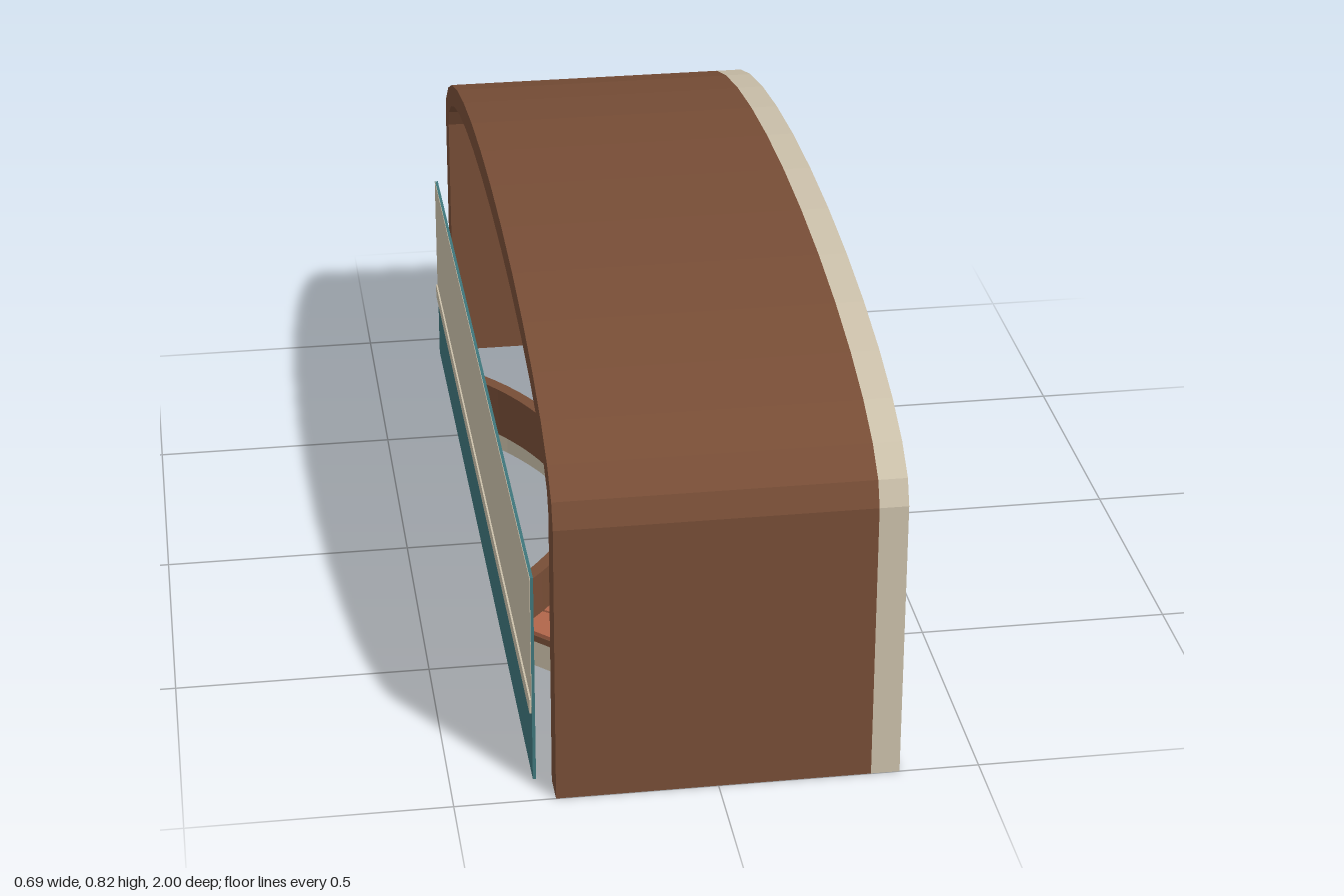
import * as THREE from 'three';

const mat = (name, color) => {
  const m = new THREE.MeshStandardMaterial({ color });
  m.name = name;
  return m;
};

export function createModel() {
  const group = new THREE.Group();
  const brown = mat('brown wood', 0x774d36);
  const stone = mat('beige stone', 0xcbc0aa);
  const teal = mat('teal', 0x3f767b);
  const plank = mat('terracotta plank', 0xb0664a);
  const soil = mat('dark soil', 0x36352a);

  const add = (name, geometry, material, x = 0, y = 0, z = 0) => {
    const mesh = new THREE.Mesh(geometry, material);
    mesh.name = name;
    mesh.position.set(x, y, z);
    group.add(mesh);
    return mesh;
  };

  // Arched shell: straight legs below a half ellipse, extruded along x
  const spring = 0.57;
  const outline = (a, b) => {
    const pts = [[a, 0]];
    for (let i = 0; i <= 16; i++) {
      const t = (i / 16) * Math.PI;
      pts.push([a * Math.cos(t), spring + b * Math.sin(t)]);
    }
    pts.push([-a, 0]);
    return pts.map(p => new THREE.Vector2(...p));
  };
  const arch = depth => {
    const shape = new THREE.Shape([...outline(1, 0.248), ...outline(0.935, 0.193).reverse()]);
    return new THREE.ExtrudeGeometry(shape, { depth, bevelEnabled: false }).rotateY(Math.PI / 2);
  };
  add('archShell', arch(0.6), brown, -0.308);
  add('archFrontTrim', arch(0.055), stone, 0.292);

  // Low rear screen with a pale upper face and a rail on its back
  add('rearScreen', new THREE.BoxGeometry(0.006, 0.435, 1.855), teal, -0.34, 0.2175, 0);
  add('screenBackFace', new THREE.BoxGeometry(0.001, 0.275, 1.855), stone, -0.3435, 0.2975, 0);
  add('screenBackRail', new THREE.BoxGeometry(0.004, 0.03, 1.855), stone, -0.3455, 0.16, 0);

  // Curved bench: ring sectors sharing one centre
  const centreX = -0.805;
  const sector = (r0, r1, from, to, depth, steps) => {
    const pts = [];
    for (let i = 0; i <= steps; i++) {
      const t = from + ((to - from) * i) / steps;
      pts.push(new THREE.Vector2(r1 * Math.cos(t), r1 * Math.sin(t)));
    }
    for (let i = steps; i >= 0; i--) {
      const t = from + ((to - from) * i) / steps;
      pts.push(new THREE.Vector2(r0 * Math.cos(t), r0 * Math.sin(t)));
    }
    return new THREE.ExtrudeGeometry(new THREE.Shape(pts), { depth, bevelEnabled: false })
      .rotateX(-Math.PI / 2);
  };
  const q = Math.PI / 4;
  add('benchBase', sector(0.69, 0.77, -q, q, 0.055, 28), stone, centreX, 0, 0);
  add('benchSeat', sector(0.69, 0.785, -q, q, 0.014, 28), brown, centreX, 0.055, 0);
  add('benchBackrest', sector(0.665, 0.692, -q, q, 0.11, 28), brown, centreX, 0.055, 0);
  const count = 14, step = (2 * q) / count, gap = 0.004;
  for (let i = 0; i < count; i++) {
    const a = -q + i * step;
    add('seatPlank', sector(0.694, 0.785, a + gap, a + step - gap, 0.007, 2), plank, centreX, 0.069, 0);
  }

  // Oval planters, one near each leg
  const profile = [[0, 0], [0.94, 0], [0.97, 0.018], [1, 0.07], [1, 0.098], [0.9, 0.098], [0.88, 0.08]]
    .map(p => new THREE.Vector2(...p));
  for (const side of [-1, 1]) {
    const bowl = new THREE.LatheGeometry(profile, 28).scale(0.112, 1, 0.203).toNonIndexed();
    bowl.computeVertexNormals();
    add('planterBowl', bowl, stone, 0.12, 0, side * 0.73);
    const bed = new THREE.CylinderGeometry(0.89, 0.89, 0.006, 28).scale(0.112, 1, 0.203);
    add('planterSoil', bed, soil, 0.12, 0.081, side * 0.73);
  }
  return group;
}
